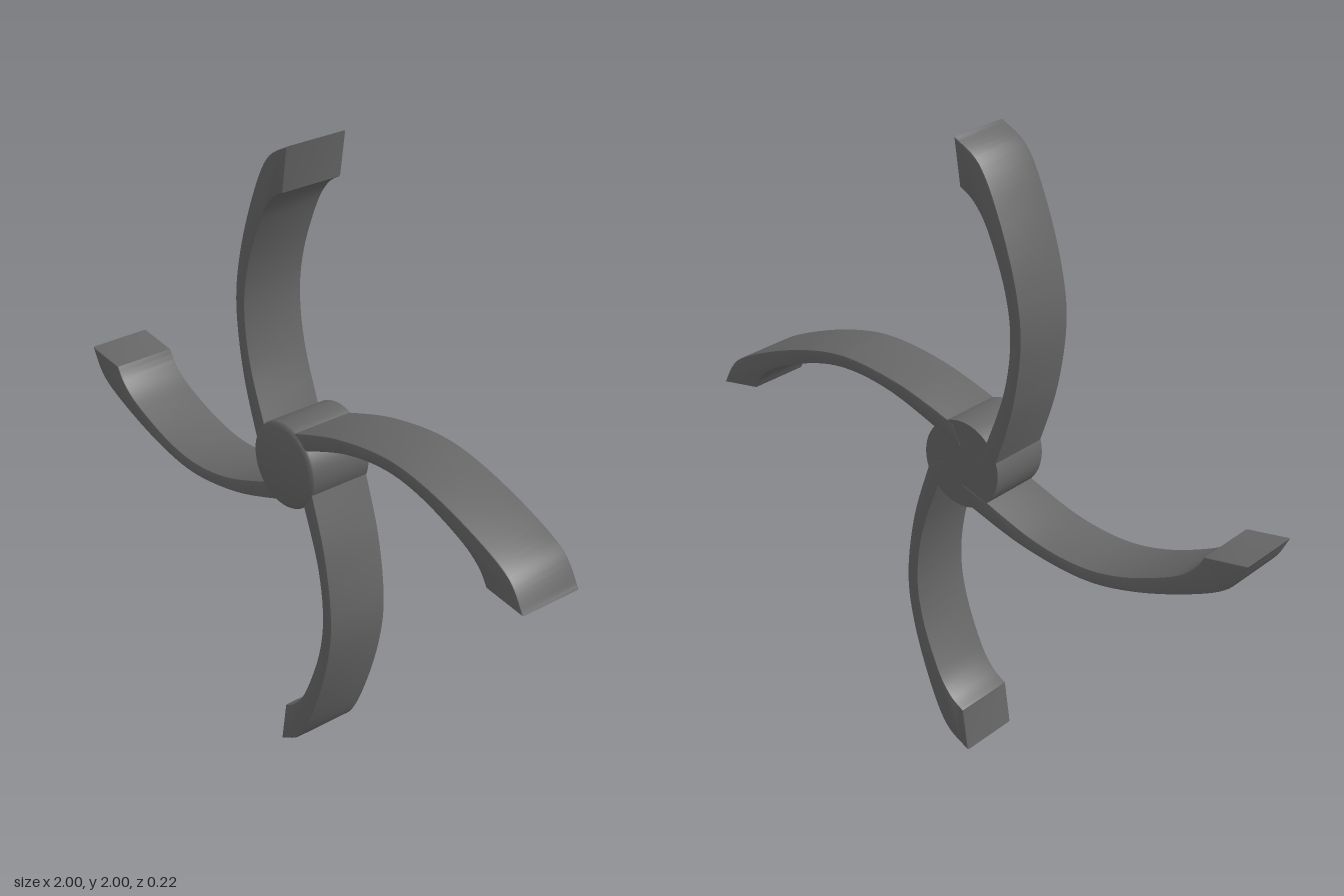
import * as THREE from 'three';
import { toCreasedNormals } from 'three/addons/utils/BufferGeometryUtils.js';

const v = (x, y) => new THREE.Vector2(x, y);

// Curved blade outline, measured from the hub centre
function bladeShape() {
  const s = new THREE.Shape();
  s.moveTo(-0.06, 0.0);
  s.lineTo(-0.085, 0.08);
  s.splineThru([v(-0.155, 0.27), v(-0.18, 0.44), v(-0.16, 0.59), v(-0.1, 0.75), v(-0.05, 0.825), v(0.0, 0.86)]);
  s.lineTo(0.02, 1.0);
  s.splineThru([v(-0.07, 0.94), v(-0.14, 0.8), v(-0.2, 0.61), v(-0.22, 0.44), v(-0.19, 0.23), v(-0.125, 0.03)]);
  s.closePath();
  return s;
}

export function createModel() {
  const model = new THREE.Group();
  model.name = 'rotor';
  const darkGrey = new THREE.MeshStandardMaterial({ color: 0x666666 });
  darkGrey.name = 'darkGrey';

  // Four identical blades with slightly softened edges
  const bevel = 0.005;
  let blade = new THREE.ExtrudeGeometry(bladeShape(), {
    depth: 0.212 - 2 * bevel, curveSegments: 6,
    bevelEnabled: true, bevelThickness: bevel, bevelSize: bevel, bevelOffset: -bevel, bevelSegments: 2,
  });
  blade.translate(0, 0, -0.109 + bevel);
  blade = toCreasedNormals(blade, 0.6);
  for (let i = 0; i < 4; i++) {
    const mesh = new THREE.Mesh(blade, darkGrey);
    mesh.name = 'blade' + (i + 1);
    mesh.rotation.z = i * Math.PI / 2;
    mesh.position.y = 1;
    model.add(mesh);
  }

  // Round hub, its front rim rounded and standing proud of the blades
  const profile = [v(0, -0.108), v(0.138, -0.108), v(0.138, 0.098), v(0.134, 0.104), v(0.122, 0.11), v(0, 0.112)];
  let hubGeometry = new THREE.LatheGeometry(profile, 48);
  hubGeometry.rotateX(Math.PI / 2);
  hubGeometry = toCreasedNormals(hubGeometry, 0.6);
  const hub = new THREE.Mesh(hubGeometry, darkGrey);
  hub.name = 'hub';
  hub.position.y = 1.005;
  model.add(hub);

  return model;
}
